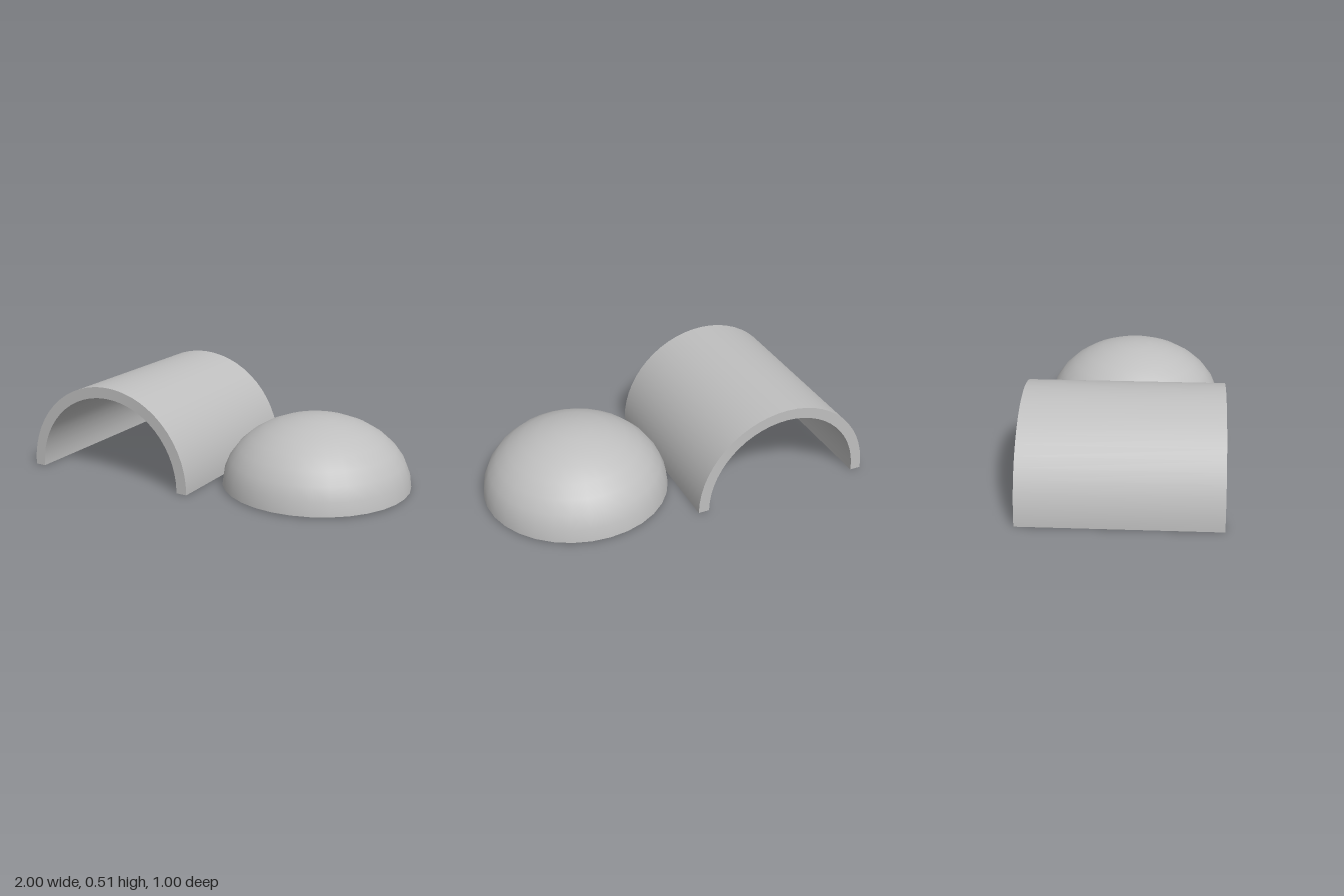
import * as THREE from 'three';
import { toCreasedNormals } from 'three/addons/utils/BufferGeometryUtils.js';

const BASE = 0.007; // springing height of both shells

// Half-pipe shell with short straight feet, running along z
function vaultGeometry(outer, inner, length) {
  const s = new THREE.Shape();
  s.moveTo(outer, 0);
  s.lineTo(outer, BASE);
  s.absarc(0, BASE, outer, 0, Math.PI, false);
  s.lineTo(-outer, 0);
  s.lineTo(-inner, 0);
  s.lineTo(-inner, BASE);
  s.absarc(0, BASE, inner, Math.PI, 0, true);
  s.lineTo(inner, 0);
  s.closePath();
  const g = new THREE.ExtrudeGeometry(s, { depth: length, bevelEnabled: false, curveSegments: 14 });
  g.translate(0, 0, -length / 2);
  return toCreasedNormals(g, 0.6);
}

// Hollow flattened dome, open underneath
function domeGeometry(radius, height, wall) {
  const rings = 8;
  const arc = (r, h) => Array.from({ length: rings + 1 }, (_, i) => {
    const a = (i / rings) * Math.PI / 2;
    return new THREE.Vector2(i === rings ? 0 : r * Math.cos(a), h * Math.sin(a));
  });
  const outside = arc(radius, height);
  const inside = arc(radius - wall, height - wall);
  const profile = [inside[0], ...outside, ...inside.reverse()];
  return toCreasedNormals(new THREE.LatheGeometry(profile, 32), 0.6);
}

export function createModel() {
  const group = new THREE.Group();
  const grey = new THREE.MeshStandardMaterial({ color: 0xbfbfbf });
  grey.name = 'light grey';

  // Barrel vault on the right
  const vault = new THREE.Mesh(vaultGeometry(0.5, 0.44, 1), grey);
  vault.name = 'barrelVault';
  vault.position.x = -0.5;

  // Shallow dome on the left
  const dome = new THREE.Mesh(domeGeometry(0.5, 0.37, 0.02), grey);
  dome.name = 'dome';
  dome.position.set(0.5, BASE, 0);

  group.add(vault, dome);
  return group;
}
